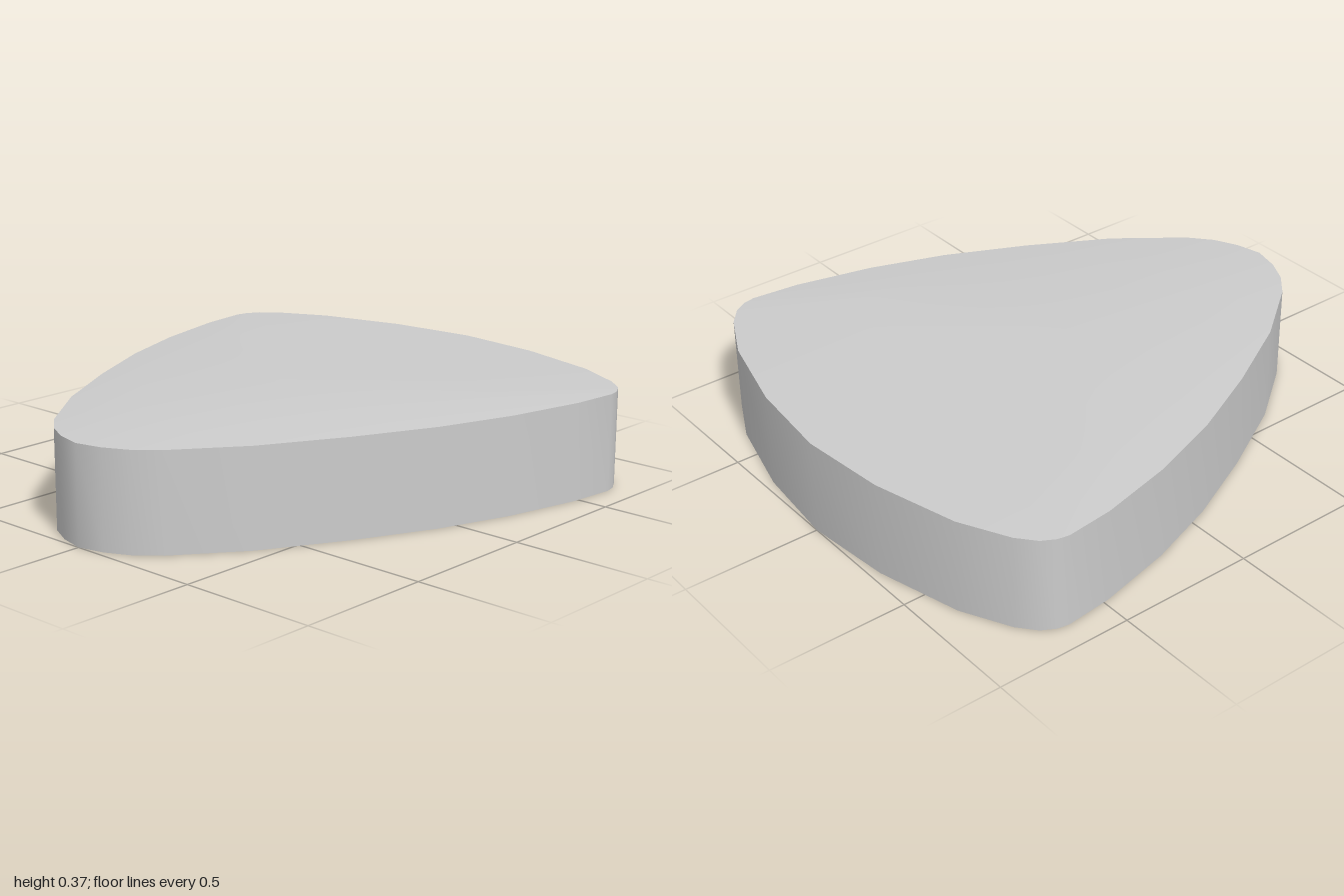
import * as THREE from 'three';
import { toCreasedNormals } from 'three/addons/utils/BufferGeometryUtils.js';

// Right half of the rounded-triangle outline (x, z), from back to front tip
const half = [
  [0, -1], [0.32, -0.967], [0.63, -0.885], [0.805, -0.797], [0.868, -0.744],
  [0.895, -0.696], [0.903, -0.654], [0.885, -0.48], [0.82, -0.2], [0.726, 0.07],
  [0.593, 0.352], [0.434, 0.638], [0.26, 0.866], [0.18, 0.935], [0.095, 0.977], [0, 1],
];

// Cross-sections: height, x scale, z scale, z shift
const sections = [
  [0, 0, 0, 0], // underside centre
  [0, 1, 1, 0], // bottom edge
  [0.35, 1, 1, 0], // top edge
  [0.37, 0.68, 0.58, 0.07], // inner edge of the shallow dome
  [0.37, 0, 0, 0.07], // top centre
];

function loft(outline, rings) {
  const positions = [];
  const point = ([y, sx, sz, dz], [x, z]) => [x * sx, y, z * sz + dz];
  for (let r = 0; r < rings.length - 1; r++) {
    const low = rings[r], high = rings[r + 1];
    outline.forEach((p, i) => {
      const q = outline[(i + 1) % outline.length];
      const a = point(low, p), b = point(low, q), c = point(high, q), d = point(high, p);
      if (high[1] > 0) positions.push(...a, ...d, ...c);
      if (low[1] > 0) positions.push(...a, ...c, ...b);
    });
  }
  const geometry = new THREE.BufferGeometry();
  geometry.setAttribute('position', new THREE.Float32BufferAttribute(positions, 3));
  return toCreasedNormals(geometry, Math.PI / 5);
}

export function createModel() {
  const group = new THREE.Group();
  group.name = 'roundedTriangle';

  // Mirror the half outline into a closed loop
  const mirrored = half.slice(1, -1).reverse().map(([x, z]) => [-x, z]);
  const body = new THREE.Mesh(
    loft([...half, ...mirrored], sections),
    new THREE.MeshStandardMaterial({ color: 0xcccccc })
  );
  body.name = 'domedSlab';
  group.add(body);
  return group;
}
